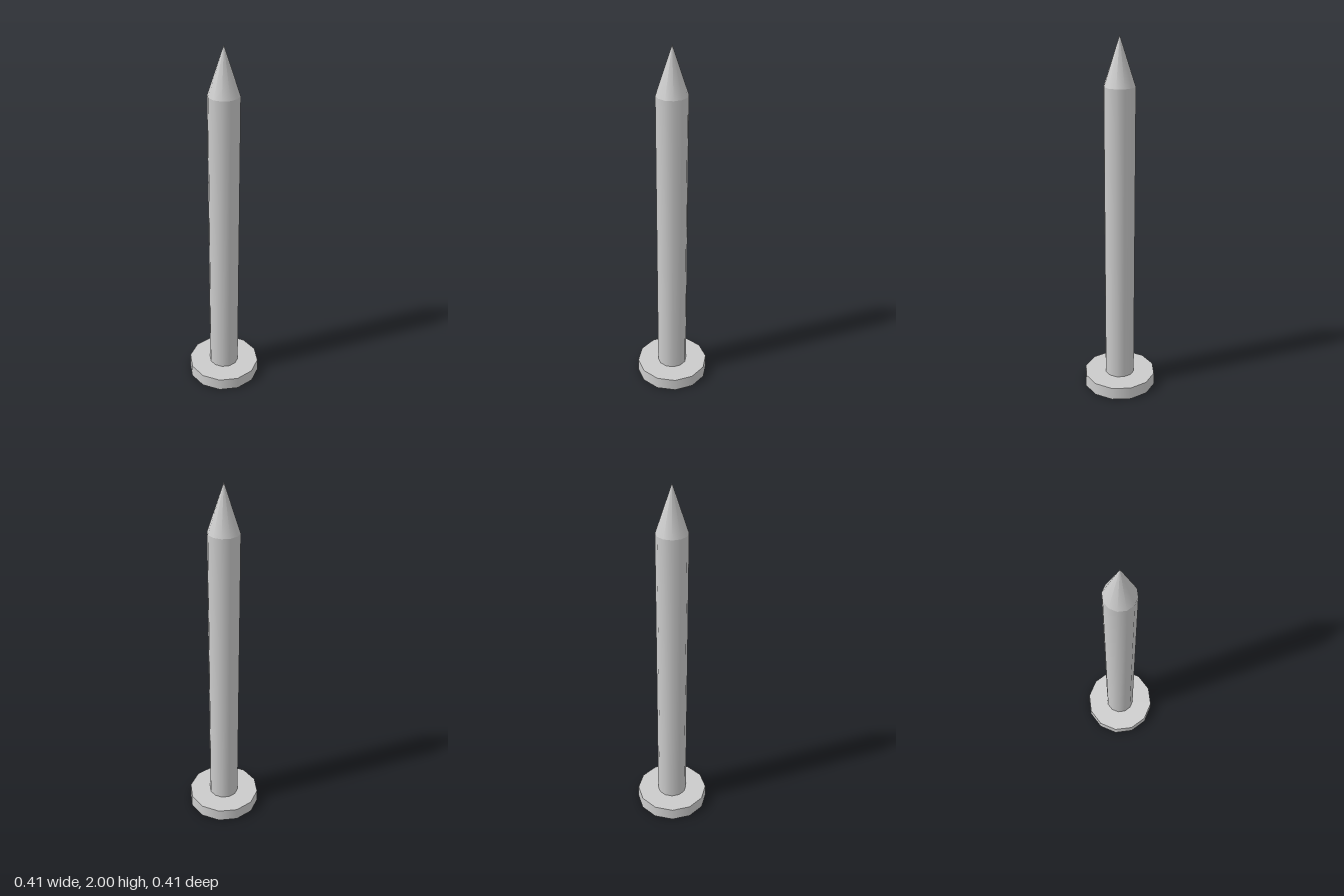
import * as THREE from 'three';

const SIDES = 12;

export function createModel() {
  const group = new THREE.Group();
  group.name = 'nail';
  const material = new THREE.MeshStandardMaterial({ color: 0xcccccc });

  // Adds a twelve-sided round section between two heights
  function addSection(name, bottomRadius, topRadius, y0, y1, open) {
    const geometry = new THREE.CylinderGeometry(topRadius, bottomRadius, y1 - y0, SIDES, 1, open);
    const mesh = new THREE.Mesh(geometry, material);
    mesh.name = name;
    mesh.position.y = (y0 + y1) / 2;
    group.add(mesh);
  }

  // Flat head, very slightly tapered
  addSection('head', 0.207, 0.204, 0, 0.07, false);
  // Straight shank
  addSection('shank', 0.084, 0.084, 0.07, 1.745, true);
  // Pointed tip
  addSection('tip', 0.084, 0, 1.745, 2, true);

  return group;
}
